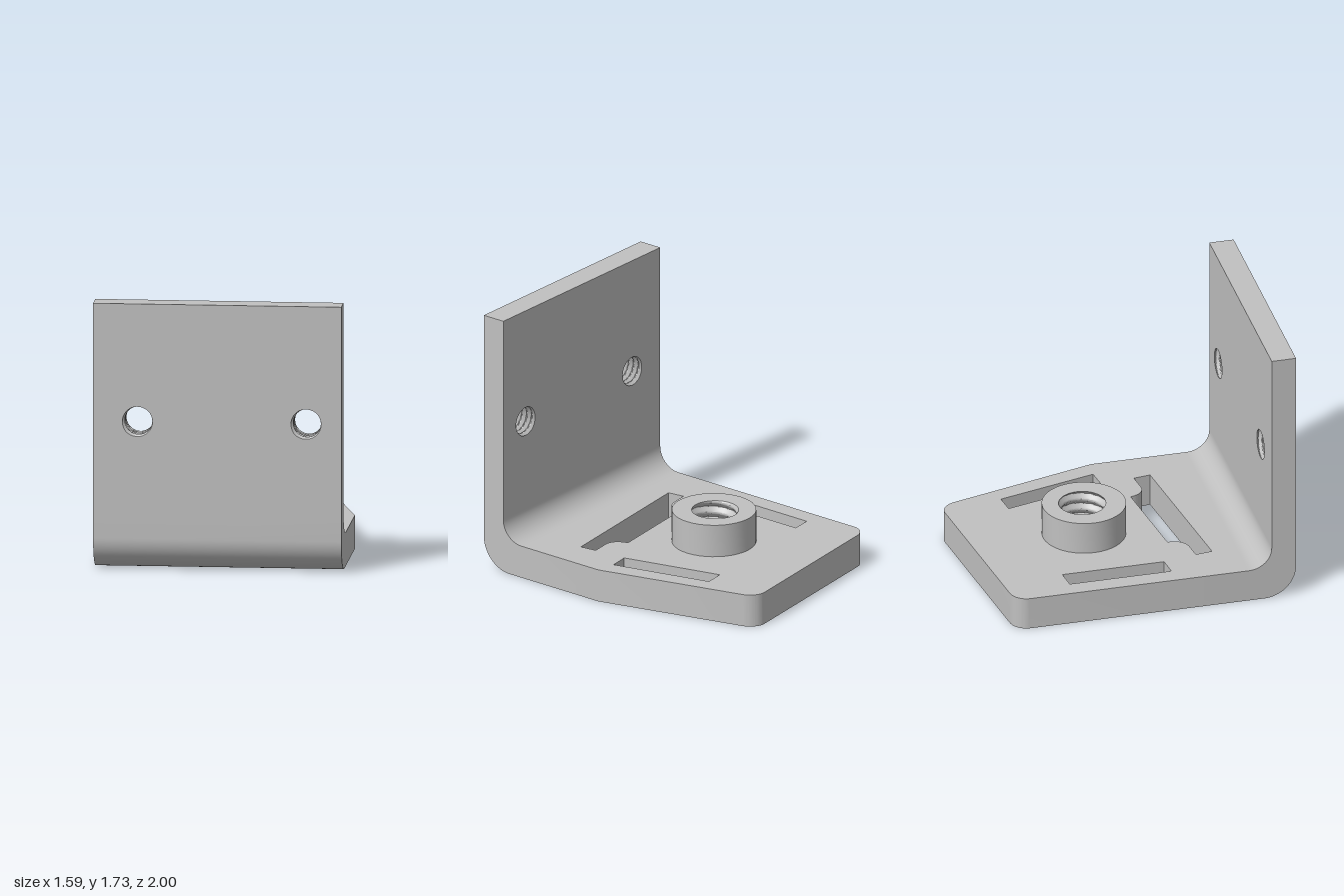
import * as THREE from 'three';
import { toCreasedNormals } from 'three/addons/utils/BufferGeometryUtils.js';

const W = 0.795;        // half width
const T = 0.217;        // base thickness
const WALL = 0.16;      // wall thickness
const SEAM_Z = 0.69;    // base meets bend
const SEAM_Y = 0.36;    // bend meets wall
const AROUND = 48;

// Radius of a threaded bore; h counts turns along the axis.
function boreRadius(b, angle, h) {
  const f = h - (angle - b.start) / (2 * Math.PI);
  const d = Math.abs(f - Math.round(f));
  return b.r + b.depth * Math.max(0, 1 - d / 0.42);
}

// Opening of a bore on a face, a whole number of turns from either end.
function boreHole(b) {
  const pts = [];
  for (let i = 0; i < AROUND; i++) {
    const a = (i / AROUND) * 2 * Math.PI, r = boreRadius(b, a, 0);
    pts.push(new THREE.Vector2(b.x + r * Math.cos(a), b.y + r * Math.sin(a)));
  }
  return new THREE.Path(pts);
}

// Helical thread surface facing the bore axis (local z).
function threadGeometry(b, length, turns) {
  const rows = turns * 16, pos = [], idx = [];
  for (let j = 0; j <= rows; j++) {
    for (let i = 0; i <= AROUND; i++) {
      const a = (i / AROUND) * 2 * Math.PI, r = boreRadius(b, a, j / 16);
      pos.push(b.x + r * Math.cos(a), b.y + r * Math.sin(a), (j / rows) * length);
      if (i < AROUND && j < rows) {
        const p = j * (AROUND + 1) + i, q = p + AROUND + 1;
        idx.push(p, q, p + 1, p + 1, q, q + 1);
      }
    }
  }
  const g = new THREE.BufferGeometry();
  g.setAttribute('position', new THREE.Float32BufferAttribute(pos, 3));
  g.setIndex(idx);
  return toCreasedNormals(g, 0.6);
}

// Extrude, leaving out triangles whose three corners all pass a test.
function extrude(shape, depth, ...tests) {
  const src = new THREE.ExtrudeGeometry(shape, { depth, bevelEnabled: false, curveSegments: 20 });
  const p = src.attributes.position, kept = [], v = new THREE.Vector3();
  for (let i = 0; i < p.count; i += 3) {
    const drop = tests.some(t => [0, 1, 2].every(k => t(v.fromBufferAttribute(p, i + k))));
    if (!drop) for (let k = 0; k < 3; k++) kept.push(p.getX(i + k), p.getY(i + k), p.getZ(i + k));
  }
  const g = new THREE.BufferGeometry();
  g.setAttribute('position', new THREE.Float32BufferAttribute(kept, 3));
  return toCreasedNormals(g, 0.5);
}

const inBore = b => v => Math.hypot(v.x - b.x, v.y - b.y) < 1.15 * (b.r + b.depth);
const onPlane = (axis, value) => v => Math.abs(v[axis] - value) < 1e-5;

// Path through points given as [x, z] seen from above.
function planPath(path, steps) {
  steps.forEach((s, i) => {
    const q = s.map((n, k) => (k % 2 ? -n : n));
    if (i === 0) path.moveTo(...q);
    else if (q.length === 6) path.bezierCurveTo(...q);
    else path.lineTo(...q);
  });
  path.closePath();
  return path;
}

export function createModel() {
  const model = new THREE.Group();
  model.name = 'bracket';
  const grey = new THREE.MeshStandardMaterial({ color: 0xc0c0c0 });
  grey.name = 'grey metal';
  const add = (parent, geometry, name) => {
    const m = new THREE.Mesh(geometry, grey);
    m.name = name;
    parent.add(m);
    return m;
  };

  // Base plate with boss, drawn in plan and laid flat
  const base = new THREE.Group();
  base.name = 'base';
  base.rotation.x = -Math.PI / 2;
  model.add(base);
  const mainBore = { x: -0.05, y: 0.205, r: 0.14, depth: 0.024, start: 1.5 };

  const plate = planPath(new THREE.Shape(), [
    [-W, SEAM_Z], [W, SEAM_Z], [W, 0.06], [0.537, -0.91],
    [0.523, -0.963, 0.473, -1.006, 0.42, -0.999],
    [-0.695, -0.86],
    [-0.75, -0.853, -W, -0.807, -W, -0.75],
  ]);
  plate.holes.push(
    boreHole(mainBore),
    // side slots
    planPath(new THREE.Path(), [[-0.675, -0.46], [-0.545, -0.475], [-0.545, 0.195], [-0.675, 0.21]]),
    planPath(new THREE.Path(), [[0.37, -0.592], [0.5, -0.61], [0.665, 0.04], [0.535, 0.058]]),
    // stepped slot with rounded shoulders
    planPath(new THREE.Path(), [
      [-0.505, 0.415], [-0.4, 0.402],
      [-0.33, 0.393, -0.297, 0.34, -0.305, 0.28],
      [0.323, 0.2],
      [0.332, 0.26, 0.375, 0.302, 0.43, 0.295],
      [0.55, 0.28], [0.565, 0.39], [-0.49, 0.525],
    ]),
  );
  add(base, extrude(plate, T, inBore(mainBore), onPlane('y', -SEAM_Z)), 'basePlate');

  const ring = new THREE.Shape().absarc(mainBore.x, mainBore.y, 0.27, 0, 2 * Math.PI);
  ring.holes.push(boreHole(mainBore));
  add(base, extrude(ring, T, inBore(mainBore), onPlane('z', 0)), 'boss').position.z = T;
  add(base, threadGeometry(mainBore, 2 * T, 6), 'bossThread');

  // Rounded bend, its profile drawn in z and y
  const k = 0.45;
  const profile = new THREE.Shape();
  profile.moveTo(SEAM_Z, 0);
  profile.lineTo(0.79, 0);
  profile.bezierCurveTo(1 - 0.21 * k, 0, 1, 0.21 * k, 1, 0.21);
  profile.lineTo(1, SEAM_Y);
  profile.lineTo(1 - WALL, SEAM_Y);
  profile.bezierCurveTo(0.84, T + 0.143 * k, 0.84 - 0.15 * k, T, SEAM_Z, T);
  profile.closePath();
  const bend = extrude(profile, 2 * W, onPlane('x', SEAM_Z), onPlane('y', SEAM_Y));
  bend.translate(0, 0, -W).rotateY(-Math.PI / 2);
  add(model, bend, 'bend');

  // Upright wall with two threaded holes
  const wall = new THREE.Group();
  wall.name = 'wall';
  wall.position.z = 1 - WALL;
  model.add(wall);
  const bores = [-0.505, 0.575].map(x => ({ x, y: 0.973, r: 0.089, depth: 0.018, start: 3.9 }));
  const panel = new THREE.Shape([[-W, SEAM_Y], [W, SEAM_Y], [W, 1.73], [-W, 1.73]]
    .map(q => new THREE.Vector2(...q)));
  panel.holes.push(...bores.map(boreHole));
  add(wall, extrude(panel, WALL, ...bores.map(inBore), onPlane('y', SEAM_Y)), 'wallPanel');
  bores.forEach(b => add(wall, threadGeometry(b, WALL, 4), 'wallThread'));

  return model;
}
